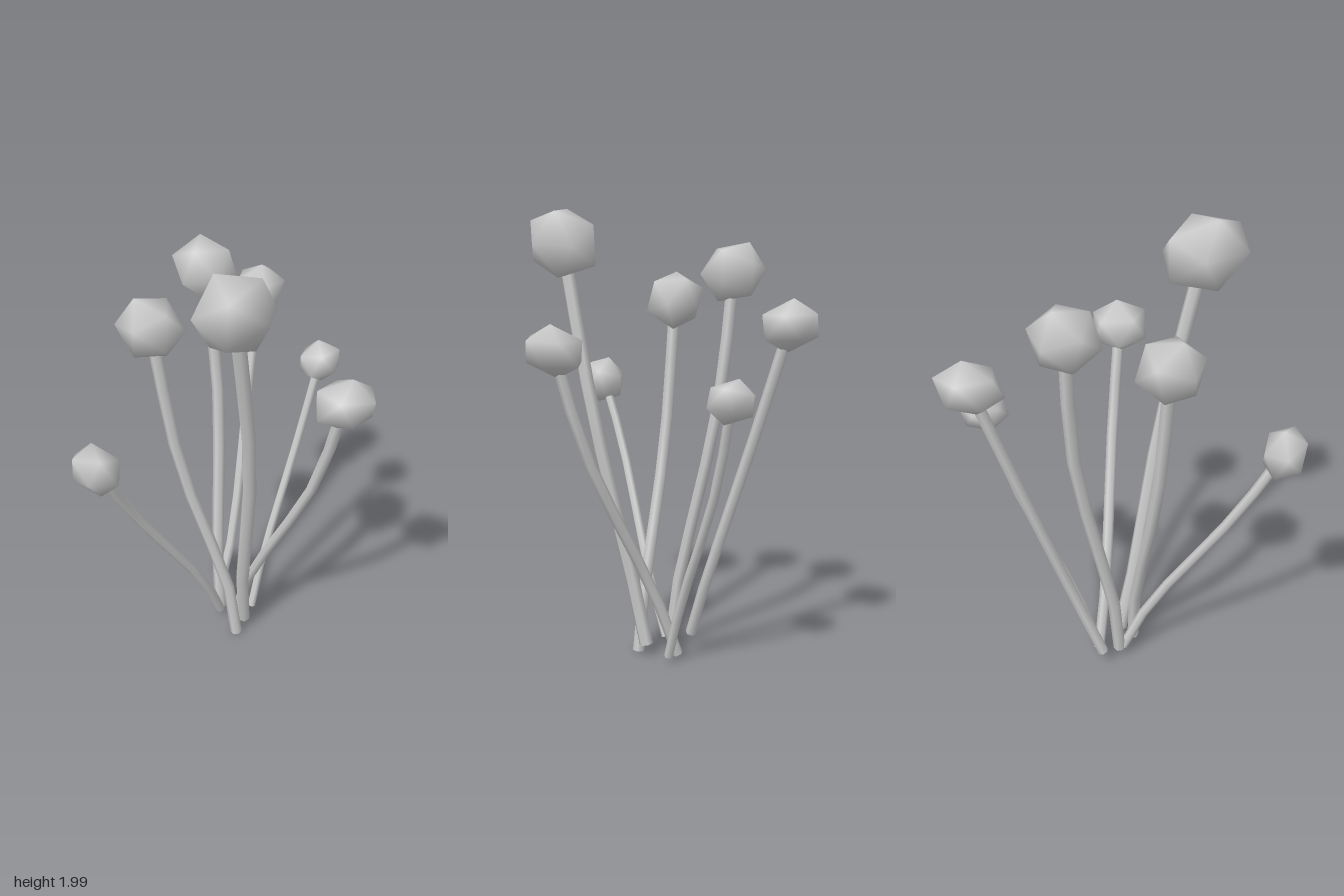
import * as THREE from 'three';
import { mergeVertices } from 'three/addons/utils/BufferGeometryUtils.js';

const grey = new THREE.MeshStandardMaterial({ color: 0xcccccc });
const UP = new THREE.Vector3(0, 1, 0);

// Smooth-shaded, flattened icosahedron with one face turned along the axis, as wide, high and deep as size
function headGeometry(axis, size, twist) {
  let geo = new THREE.IcosahedronGeometry(1, 0);
  geo.deleteAttribute('normal');
  geo.deleteAttribute('uv');
  geo = mergeVertices(geo);
  const corner = (i) => new THREE.Vector3().fromBufferAttribute(geo.attributes.position, geo.index.getX(i));
  const face = corner(0).add(corner(1)).add(corner(2)).normalize();
  geo.applyQuaternion(new THREE.Quaternion().setFromUnitVectors(face, UP));
  const first = corner(0);
  geo.rotateY(Math.atan2(first.z, first.x) - THREE.MathUtils.degToRad(twist));
  geo.scale(1, 0.85, 1);
  geo.applyQuaternion(new THREE.Quaternion().setFromUnitVectors(UP, axis));
  geo.center();
  const raw = geo.boundingBox.getSize(new THREE.Vector3());
  geo.scale(size.x / raw.x, size.y / raw.y, size.z / raw.z);
  geo.computeVertexNormals();
  return geo;
}

// One stalk: foot, two bends of the stem, head centre, head size, head twist in degrees
function makeStalk(foot, low, high, centre, size, twist) {
  const group = new THREE.Group();
  group.name = 'stalk';
  const add = (geo, name) => {
    const mesh = new THREE.Mesh(geo, grey);
    mesh.name = name;
    group.add(mesh);
    return mesh;
  };
  const vec = (p) => new THREE.Vector3(...p);
  const headSize = vec(size);
  const radius = (headSize.x + headSize.y + headSize.z) / 29;

  // Slightly bent stem, running up into the head
  const curve = new THREE.CatmullRomCurve3([foot, low, high, centre].map(vec));
  add(new THREE.TubeGeometry(curve, 6, radius, 6), 'stem');

  // Flat cut at the foot of the stem
  const cut = add(new THREE.CircleGeometry(radius, 6), 'stemFoot');
  cut.position.copy(curve.getPoint(0));
  cut.quaternion.setFromUnitVectors(new THREE.Vector3(0, 0, 1), curve.getTangent(0).negate());

  // Faceted head, tipped back against the lean of the stem
  const axis = curve.getTangent(1).multiply(new THREE.Vector3(-2, 1, -2)).normalize();
  const head = add(headGeometry(axis, headSize, twist), 'head');
  head.position.set(...centre);
  return group;
}

export function createModel() {
  const model = new THREE.Group();
  model.name = 'stalkCluster';
  model.add(
    // Tall front stalk
    makeStalk([-0.08, 0.06, 0.01], [-0.06, 0.3, 0.06], [0.06, 1.1, 0.2], [0.09, 1.85, 0.36], [0.3, 0.3, 0.32], 5),
    // Front right stalk
    makeStalk([-0.09, 0.01, 0.07], [-0.12, 0.25, 0.07], [-0.32, 0.95, 0.13], [-0.41, 1.6, 0.155], [0.25, 0.26, 0.27], 30),
    // Low stalk leaning forward
    makeStalk([-0.21, 0.06, 0.01], [-0.22, 0.3, 0.12], [-0.36, 0.9, 0.46], [-0.39, 1.2, 0.62], [0.22, 0.22, 0.18], 0),
    // Back right stalk
    makeStalk([-0.22, 0.06, -0.01], [-0.24, 0.3, -0.03], [-0.31, 1.15, -0.2], [-0.37, 1.725, -0.225], [0.26, 0.25, 0.27], -20),
    // Rear right stalk
    makeStalk([-0.27, 0.09, -0.09], [-0.25, 0.35, -0.19], [-0.28, 1.05, -0.43], [-0.3, 1.51, -0.58], [0.22, 0.22, 0.26], 30),
    // Rear left stalk
    makeStalk([-0.1, 0.03, -0.11], [-0.08, 0.3, -0.2], [-0.02, 0.85, -0.44], [0.03, 1.23, -0.555], [0.19, 0.18, 0.21], 30),
    // Left stalk
    makeStalk([-0.17, 0.02, -0.1], [-0.07, 0.3, -0.06], [0.27, 0.97, 0.01], [0.4, 1.41, 0.055], [0.26, 0.22, 0.23], 8),
  );
  return model;
}
